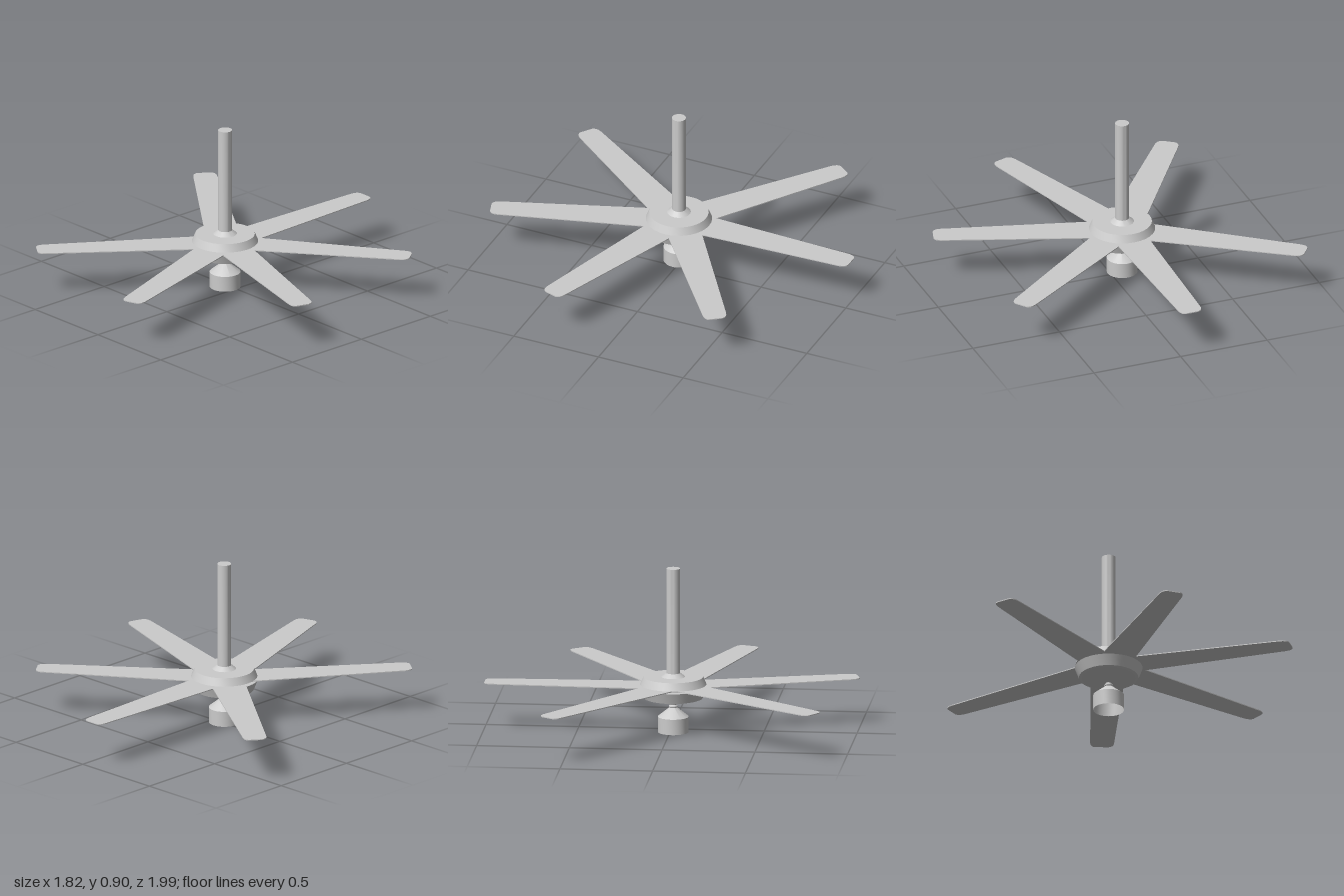
import * as THREE from 'three';
import { toCreasedNormals } from 'three/addons/utils/BufferGeometryUtils.js';

const material = new THREE.MeshStandardMaterial({ color: 0xcccccc, side: THREE.DoubleSide });

// Turned part from [radius, height] pairs, listed bottom to top
function turned(name, profile) {
  const points = profile.map(([r, y]) => new THREE.Vector2(r, y));
  const geometry = toCreasedNormals(new THREE.LatheGeometry(points, 32), 0.4);
  const mesh = new THREE.Mesh(geometry, material);
  mesh.name = name;
  return mesh;
}

// Tapered blade with clipped, softened corners, pointing towards -z
function bladeGeometry() {
  const base = 0.094, tip = 0.064, length = 1.016, thickness = 0.005;
  const shape = new THREE.Shape();
  shape.moveTo(-base, 0.1);
  shape.lineTo(base, 0.1);
  shape.lineTo(tip, length - 0.045);
  shape.quadraticCurveTo(tip - 0.003, length - 0.005, tip - 0.028, length);
  shape.lineTo(-tip + 0.028, length);
  shape.quadraticCurveTo(-tip + 0.003, length - 0.005, -tip, length - 0.045);
  shape.closePath();
  const geometry = new THREE.ExtrudeGeometry(shape, { depth: thickness, bevelEnabled: false, curveSegments: 4 });
  geometry.rotateX(-Math.PI / 2);
  return geometry.translate(0, -thickness / 2, 0);
}

export function createModel() {
  const fan = new THREE.Group();
  fan.name = 'ceilingFan';

  // Hanging rod with its flared collar
  fan.add(turned('downRod', [[0, 0.3], [0.0375, 0.3], [0.0375, 0.9], [0, 0.9]]));
  fan.add(turned('rodCollar', [[0.066, 0.302], [0.0375, 0.325]]));

  // Two-part motor housing, with the blades held in the gap
  fan.add(turned('upperHousing', [[0, 0.262], [0.178, 0.262], [0.16, 0.304], [0, 0.304]]));
  fan.add(turned('motorCore', [[0.15, 0.245], [0.15, 0.265]]));
  fan.add(turned('lowerHousing', [[0, 0.155], [0.022, 0.155], [0.16, 0.19], [0.182, 0.248], [0, 0.248]]));

  // Neck joint and hollow lamp shade, open below
  fan.add(turned('lampNeck', [[0.018, 0.13], [0.024, 0.138], [0.024, 0.144], [0.017, 0.15], [0.017, 0.16]]));
  fan.add(turned('lampShade', [[0.083, 0], [0.083, 0.085], [0.02, 0.136], [0, 0.136]]));

  // Six blades at 54 degree steps, leaving one wider gap
  const geometry = bladeGeometry();
  for (let i = -1; i <= 4; i++) {
    const blade = new THREE.Mesh(geometry, material);
    blade.name = 'blade';
    blade.position.y = 0.254;
    blade.rotation.y = -THREE.MathUtils.degToRad(54 * i);
    fan.add(blade);
  }

  // The hub sits off centre because the blades are unevenly spread
  fan.position.set(-0.068, 0, 0.016);
  const model = new THREE.Group();
  model.add(fan);
  return model;
}
